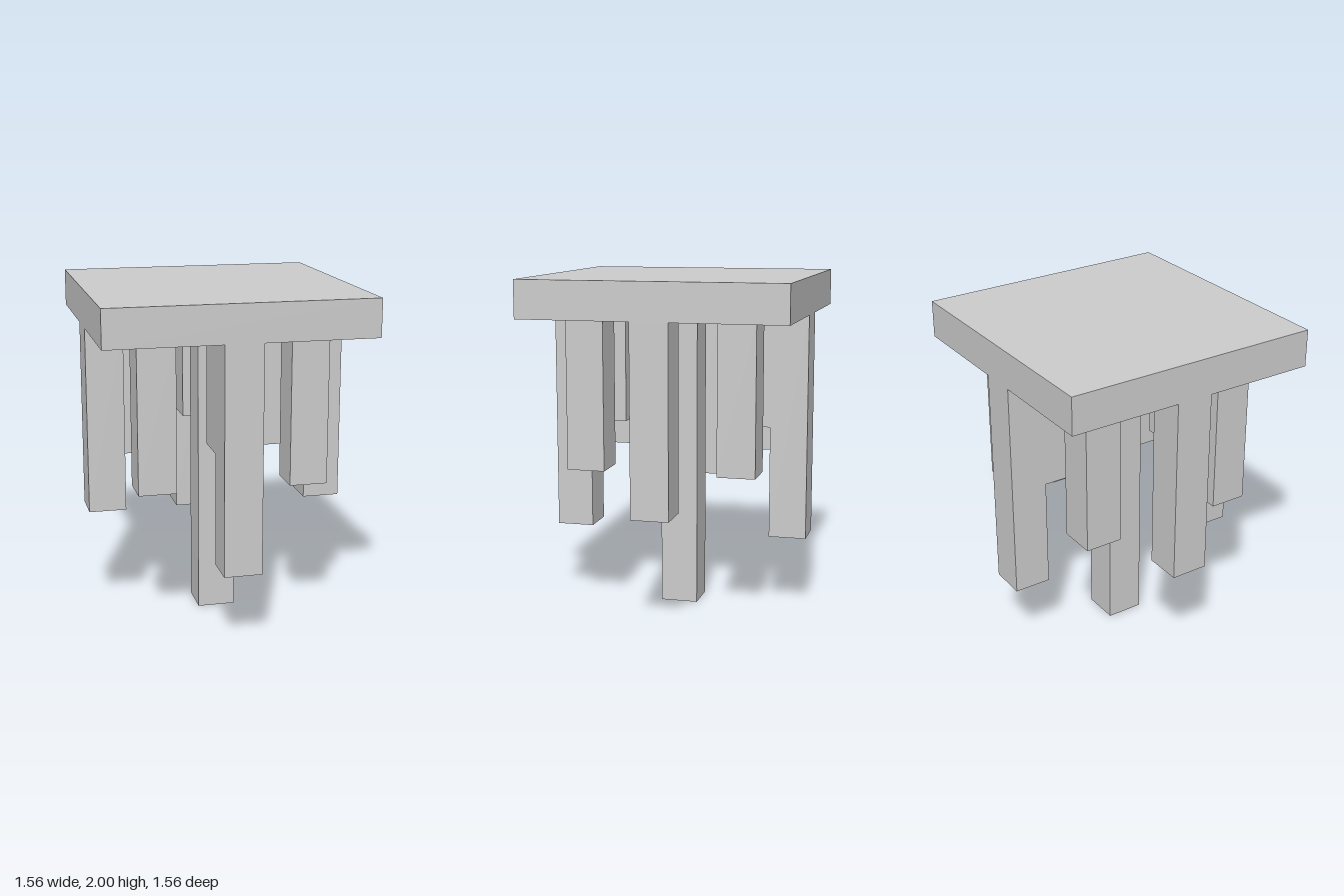
import * as THREE from 'three';

// Everything sits on a cubic grid: 7 cells wide, 7 deep, 9 high
const CELL = 2 / 9;
const UNDERSIDE = 8;

export function createModel() {
  const model = new THREE.Group();
  model.name = 'blockTable';
  const material = new THREE.MeshStandardMaterial({ color: 0xcccccc, flatShading: true });

  // Box given in cells: centre x, z, footprint width and vertical span
  function block(name, x, z, width, bottom, top) {
    const geometry = new THREE.BoxGeometry(width * CELL, (top - bottom) * CELL, width * CELL);
    const mesh = new THREE.Mesh(geometry, material);
    mesh.name = name;
    mesh.position.set(x * CELL, ((bottom + top) / 2) * CELL, z * CELL);
    model.add(mesh);
  }

  block('topSlab', 0, 0, 7, UNDERSIDE, 9);
  block('centreLeg', 0, 0, 1, 0, UNDERSIDE);

  for (const s of [-1, 1]) {
    const end = s > 0 ? 'front' : 'back';
    const side = s > 0 ? 'left' : 'right';

    // Long end legs, each with a short block directly behind it
    block(end + 'Leg', 0, 3 * s, 1, 2, UNDERSIDE);
    block(end + 'InnerBlock', 0, 2 * s, 1, 5, UNDERSIDE);

    // Medium legs at the sides
    block(side + 'Leg', 3 * s, 0, 1, 3, UNDERSIDE);

    // Short legs on the diagonals
    for (const t of [-1, 1]) {
      block(end + (t > 0 ? 'Left' : 'Right') + 'DiagonalLeg', 2 * t, 2 * s, 1, 4, UNDERSIDE);
    }
  }
  return model;
}
